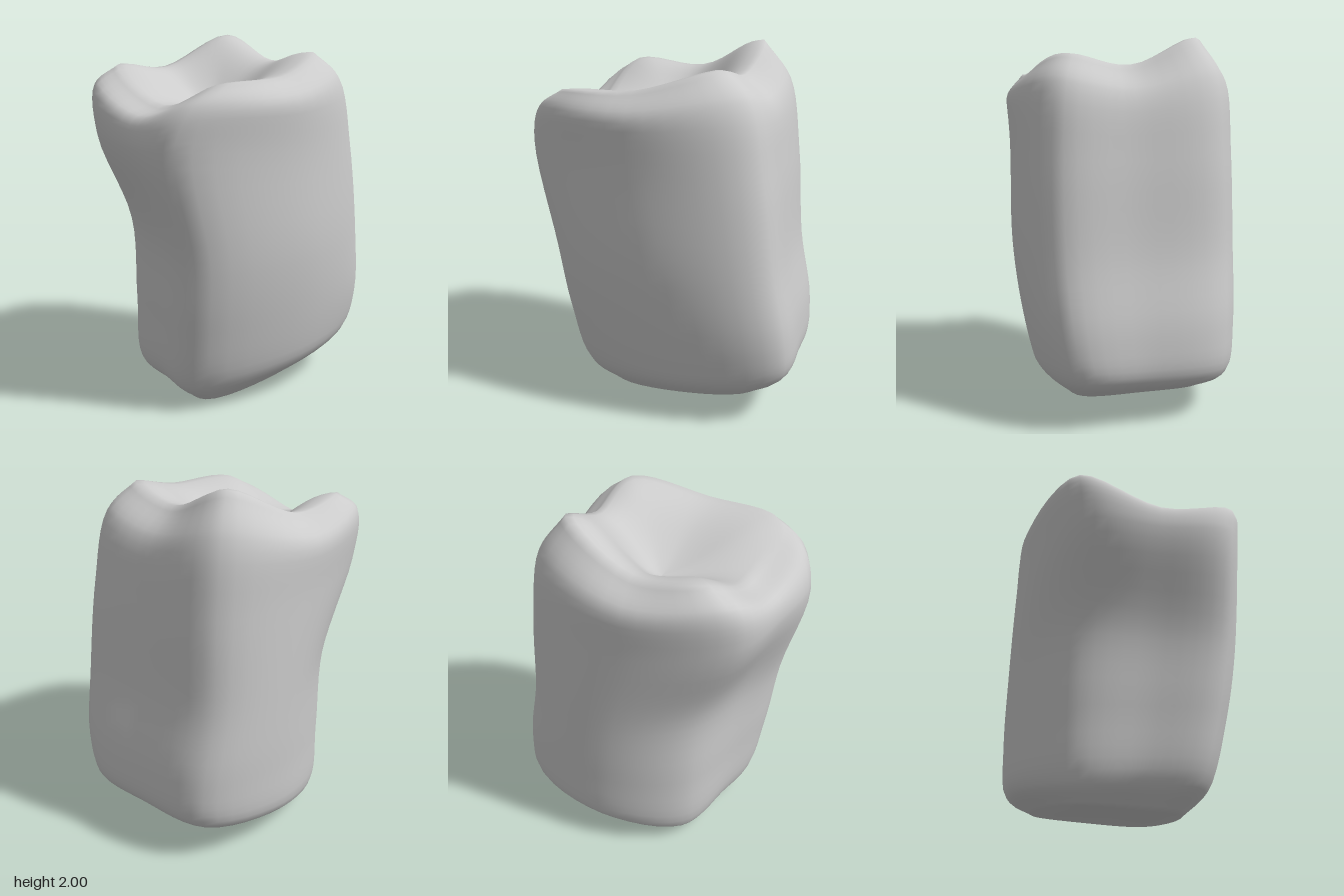
import * as THREE from 'three';

const V = (x, y, z) => new THREE.Vector3(x, y, z);
const path = (pts) => new THREE.CatmullRomCurve3(pts.map((p) => V(...p)));

// Rounded vertical corners, each followed from the base up to its cusp
const corners = [
  path([[-0.36, 0.02, 0.2], [-0.44, 0.12, 0.26], [-0.46, 0.5, 0.27], [-0.46, 0.98, 0.3], [-0.5, 1.48, 0.51], [-0.52, 1.75, 0.5], [-0.46, 1.85, 0.38]]),
  path([[0.13, 0.0, 0.33], [0.19, 0.14, 0.49], [0.26, 0.5, 0.57], [0.31, 0.9, 0.62], [0.29, 1.48, 0.74], [0.35, 1.69, 0.67], [0.38, 1.79, 0.52]]),
  path([[0.33, 0.14, -0.52], [0.41, 0.27, -0.67], [0.47, 0.5, -0.68], [0.5, 0.9, -0.61], [0.49, 1.4, -0.54], [0.45, 1.78, -0.46], [0.37, 1.92, -0.32]]),
  path([[-0.31, 0.13, -0.52], [-0.38, 0.24, -0.68], [-0.4, 0.5, -0.7], [-0.42, 0.9, -0.63], [-0.41, 1.4, -0.6], [-0.39, 1.8, -0.54], [-0.32, 2.0, -0.41]]),
];

// Middle of each side: outward bulge (x, z) and how far the rim dips there
const sides = [
  { bulge: [0, 0.04], dip: 0.16 },
  { bulge: [0.19, 0], dip: 0.04 },
  { bulge: [0.02, -0.05], dip: 0.1 },
  { bulge: [-0.16, 0], dip: 0.1 },
];

// Closed cross-section at height parameter v (0 base, 1 rim)
function section(v, count) {
  const c = corners.map((k) => k.getPoint(v));
  const swell = 0.5 + 0.5 * Math.min(1, Math.sin(Math.PI * v) * 1.8);
  const sag = THREE.MathUtils.smoothstep(v, 0.55, 1);
  const pts = [];
  sides.forEach((s, i) => {
    const mid = c[i].clone().lerp(c[(i + 1) % 4], 0.5);
    mid.x += s.bulge[0] * swell;
    mid.z += s.bulge[1] * swell;
    mid.y -= s.dip * sag;
    pts.push(c[i], mid);
  });
  const loop = new THREE.CatmullRomCurve3(pts, true);
  return Array.from({ length: count }, (_, i) => loop.getPoint(i / count));
}

function crownGeometry() {
  const N = 48, WALL = 36, BOWL = 12;
  const rows = [];
  const base = V(-0.05, 0.04, -0.03), pit = V(-0.1, 1.62, 0.02);

  // Sloping underside, from the centre out
  const first = section(0, N);
  for (const t of [0, 0.35, 0.7]) rows.push(first.map((p) => base.clone().lerp(p, t)));
  // Walls
  for (let r = 0; r <= WALL; r++) rows.push(section(r / WALL, N));
  // Biting surface: broad soft rim falling into a shallow pit
  const rim = section(1, N);
  for (let k = 1; k <= BOWL; k++) {
    const t = k / BOWL;
    const fall = THREE.MathUtils.smoothstep(Math.pow(t, 1.15), 0, 1);
    rows.push(rim.map((p) => {
      const q = p.clone().lerp(pit, t);
      q.y = THREE.MathUtils.lerp(p.y, pit.y, fall);
      return q;
    }));
  }

  // Quads between rows; first and last rows are single points
  const index = [];
  for (let r = 0; r < rows.length - 1; r++) {
    for (let i = 0; i < N; i++) {
      const a = r * N + i, b = r * N + (i + 1) % N, c = a + N, d = b + N;
      if (r > 0) index.push(a, b, d);
      if (r < rows.length - 2) index.push(a, d, c);
    }
  }
  const geo = new THREE.BufferGeometry().setFromPoints(rows.flat());
  geo.setIndex(index);
  geo.computeVertexNormals();
  return geo;
}

export function createModel() {
  const group = new THREE.Group();
  group.name = 'molar';
  const crown = new THREE.Mesh(crownGeometry(), new THREE.MeshStandardMaterial({ color: 0xcccccc }));
  crown.name = 'crown';
  group.add(crown);
  return group;
}
